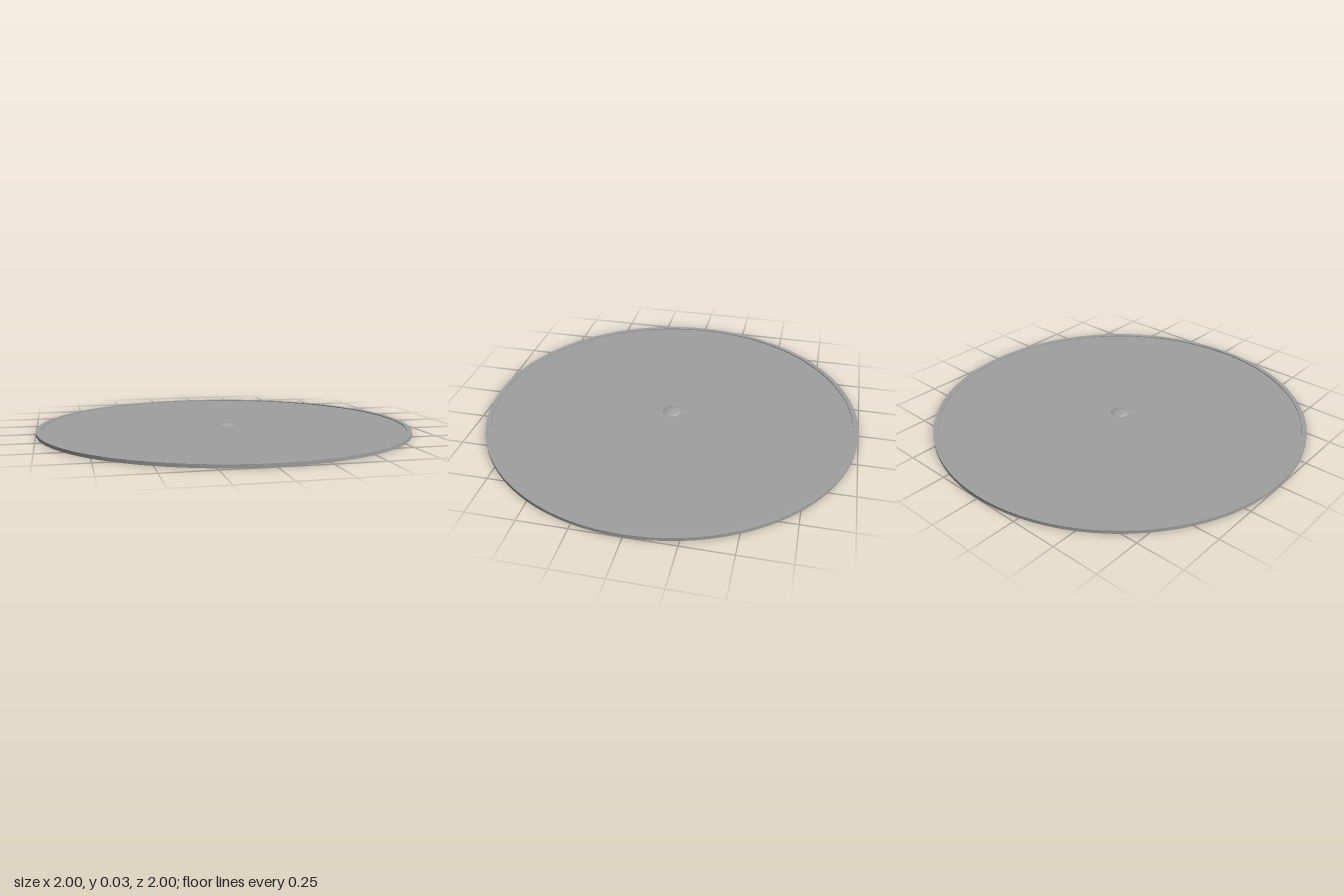
import * as THREE from 'three';

const SIDES = 48;
const TOP = 0.012;

export function createModel() {
  const model = new THREE.Group();
  const stone = new THREE.MeshStandardMaterial({ color: 0xa0a0a0 });
  stone.name = 'grey stone';

  function add(geometry, name, parent = model) {
    const mesh = new THREE.Mesh(geometry, stone);
    mesh.name = name;
    parent.add(mesh);
    return mesh;
  }

  // Flat round plate
  add(new THREE.CylinderGeometry(0.99, 0.99, TOP, SIDES), 'plate').position.y = TOP / 2;

  // Raised rim with square edges
  const rimShape = new THREE.Shape().absarc(0, 0, 1, 0, Math.PI * 2);
  rimShape.holes.push(new THREE.Path().absarc(0, 0, 0.975, 0, Math.PI * 2, true));
  const rim = new THREE.ExtrudeGeometry(rimShape, {
    depth: 0.017, bevelEnabled: false, curveSegments: SIDES,
  });
  add(rim.rotateX(-Math.PI / 2), 'rim');

  // Low pointed dome in the middle
  const domeProfile = [[0.05, TOP], [0.045, 0.016], [0.03, 0.0205], [0.015, 0.0235], [0, 0.025]]
    .map(([r, y]) => new THREE.Vector2(r, y));
  add(new THREE.LatheGeometry(domeProfile, 32), 'centre dome');

  // Very fine surface lines, almost flush with the plate
  const lines = new THREE.Group();
  lines.name = 'surface lines';
  lines.position.y = TOP + 0.0002;
  model.add(lines);
  for (const r of [0.1, 0.2, 0.5, 0.73, 0.86, 0.93]) {
    add(new THREE.RingGeometry(r - 0.002, r + 0.002, SIDES).rotateX(-Math.PI / 2), 'ring line', lines);
  }

  // Twelve spokes, each ending in a small diamond mark
  for (let i = 0; i < 12; i++) {
    const sector = new THREE.Group();
    sector.name = 'sector';
    sector.rotation.y = (i * Math.PI) / 6;
    lines.add(sector);
    const spoke = new THREE.PlaneGeometry(0.53, 0.003).rotateX(-Math.PI / 2);
    add(spoke, 'spoke line', sector).position.x = 0.465;
    const mark = new THREE.CircleGeometry(0.02, 4).rotateX(-Math.PI / 2);
    add(mark, 'diamond mark', sector).position.x = 0.8;
  }
  return model;
}
